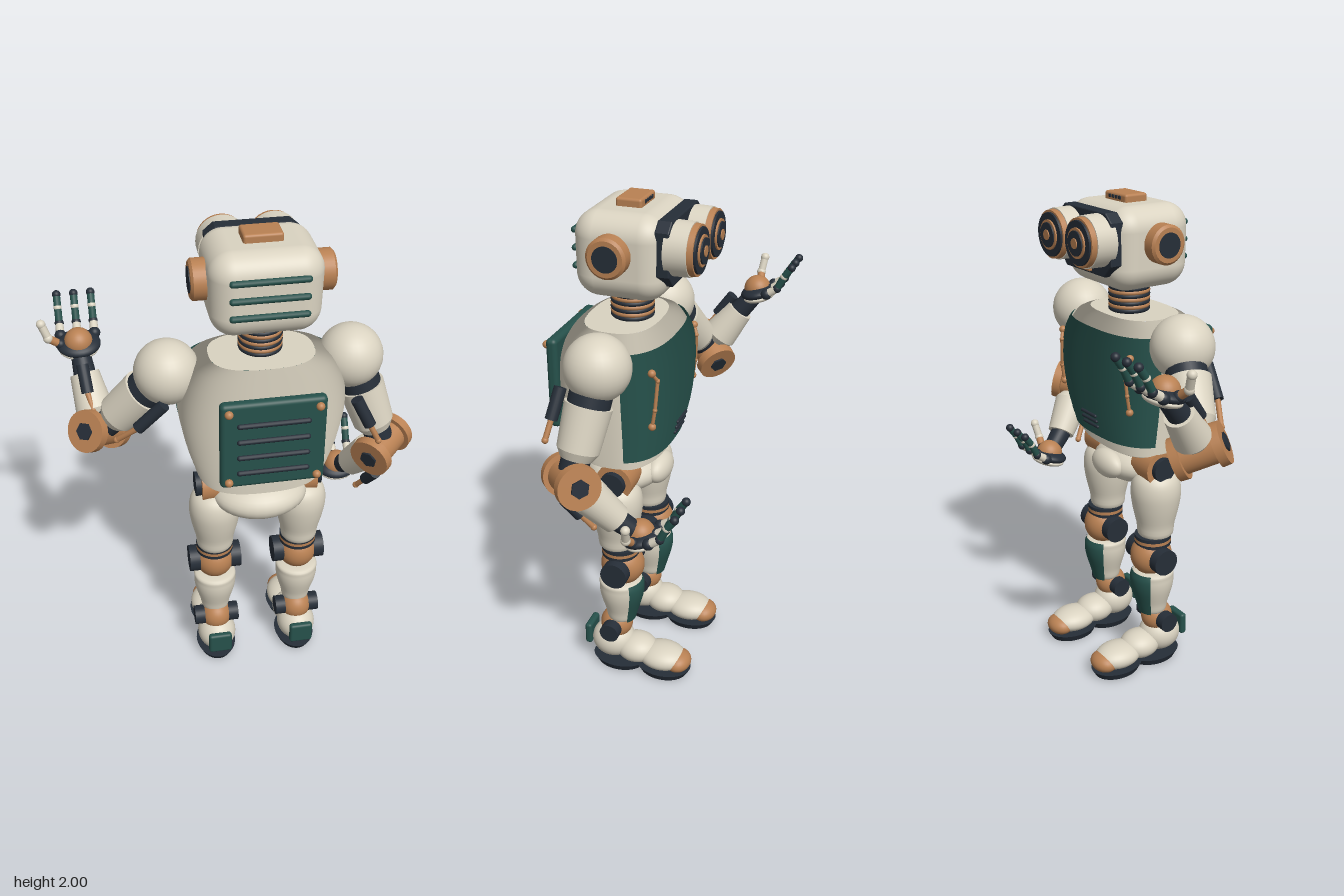
import * as THREE from 'three';
import { RoundedBoxGeometry } from 'three/addons/geometries/RoundedBoxGeometry.js';
import { ParametricGeometry } from 'three/addons/geometries/ParametricGeometry.js';

const material = (name, color, extra = {}) => {
  const m = new THREE.MeshStandardMaterial({ color, ...extra });
  m.name = name;
  return m;
};
const cream = material('cream', 0xdad3c1);
const copper = material('copper', 0xb98153);
const dark = material('dark slate', 0x262e38);
const green = material('deep green', 0x26514b, { side: THREE.DoubleSide });

const C = 0.097; // body centre line in x and z
const V = (p) => new THREE.Vector3(...p);

function add(parent, name, geometry, mat, position = [0, 0, 0]) {
  const mesh = new THREE.Mesh(geometry, mat);
  mesh.name = name;
  mesh.position.set(...position);
  parent.add(mesh);
  return mesh;
}
function ball(parent, name, p, r, mat, scale = [1, 1, 1]) {
  const m = add(parent, name, new THREE.SphereGeometry(r, 32, 20), mat, p);
  m.scale.set(...scale);
  return m;
}
function box(parent, name, p, size, r, mat) {
  return add(parent, name, new RoundedBoxGeometry(...size, 5, r), mat, p);
}
// tapered cylinder from a to b
function rod(parent, name, a, b, ra, rb, mat, sides = 32) {
  const d = V(b).sub(V(a));
  const m = add(parent, name, new THREE.CylinderGeometry(rb, ra, d.length(), sides), mat);
  m.position.copy(V(a)).addScaledVector(d, 0.5);
  m.quaternion.setFromUnitVectors(new THREE.Vector3(0, 1, 0), d.normalize());
  return m;
}
function bar(parent, name, p, length, r, mat) {
  const m = add(parent, name, new THREE.CapsuleGeometry(r, length - 2 * r, 6, 12), mat, p);
  m.rotation.z = Math.PI / 2;
  return m;
}
const mix = (a, b, t) => V(a).lerp(V(b), t).toArray();
const lathe = (pts, ...arc) =>
  new THREE.LatheGeometry(new THREE.SplineCurve(pts.map((p) => new THREE.Vector2(...p))).getPoints(28), 36, ...arc);

// torso sections: half width, height, half depth
const torsoCurve = new THREE.CatmullRomCurve3([
  [0.2, 0.962, 0.13], [0.24, 0.99, 0.165], [0.272, 1.08, 0.195], [0.302, 1.2, 0.218], [0.32, 1.34, 0.226],
  [0.305, 1.44, 0.215], [0.262, 1.51, 0.18], [0.2, 1.535, 0.14]].map(V));
const TORSO_Z = 0.12;
const torsoRows = torsoCurve.getPoints(160);
function torsoPoint(y, angle, off, target) {
  const s = torsoRows.find((q) => q.y >= y) ?? torsoRows[160];
  const pw = (v) => Math.sign(v) * Math.abs(v) ** 0.76;
  return target.set(C + (s.x + off) * pw(Math.cos(angle)), y, TORSO_Z - (s.z + off) * pw(Math.sin(angle)));
}

function buildTorso(root) {
  const g = new THREE.Group();
  g.name = 'torso';
  root.add(g);
  add(g, 'torsoShell', new ParametricGeometry((u, v, t) =>
    torsoPoint(0.962 + 0.573 * v, u * Math.PI * 2, 0, t), 72, 48), cream);
  for (const [y, dir] of [[1.535, 1], [0.962, -1]])
    add(g, 'torsoCap', new ParametricGeometry((u, v, t) => {
      torsoPoint(y, u * Math.PI * 2 * dir, 0, t);
      return t.set(C + (t.x - C) * (1 - v), y, TORSO_Z + (t.z - TORSO_Z) * (1 - v));
    }, 48, 2), cream);
  // wrapped chest plate
  add(g, 'chestPlate', new ParametricGeometry((u, v, t) =>
    torsoPoint(1.035 + 0.455 * v, 0.3 + u * (Math.PI - 0.6), 0.011, t), 48, 32), green);
  for (const s of [-1, 1]) {
    const pts = [[0.95, 1.42], [0.82, 1.385], [0.9, 1.27], [0.96, 1.2]].map(([a, y]) =>
      torsoPoint(y, Math.PI / 2 + s * a * 0.78, 0.018, new THREE.Vector3()).toArray());
    for (let i = 0; i < 3; i++) rod(g, 'chestPipe', pts[i], pts[i + 1], 0.007, 0.007, copper, 10);
    pts.forEach((p, i) => ball(g, 'chestPipeJoint', p, i % 3 ? 0.009 : 0.015, copper));
  }
  for (let i = 0; i < 3; i++) {
    const y = 1.085 + i * 0.024;
    bar(g, 'chestVent', torsoPoint(y, Math.PI / 2, 0.013, new THREE.Vector3()).toArray(), 0.11, 0.007, dark);
  }
  // back panel
  box(g, 'backPanel', [C, 1.285, 0.355], [0.395, 0.37, 0.045], 0.018, green);
  for (let i = 0; i < 4; i++) bar(g, 'backSlot', [C, 1.17 + i * 0.07, 0.381], 0.275, 0.01, dark);
  for (const x of [-0.167, 0.167]) for (const y of [1.132, 1.437]) ball(g, 'panelScrew', [C + x, y, 0.383], 0.016, copper);
  // pelvis and neck
  ball(g, 'pelvis', [C, 0.885, 0.13], 1, cream, [0.195, 0.088, 0.16]);
  ball(g, 'pelvisFront', [C, 0.89, -0.01], 1, cream, [0.095, 0.06, 0.05]);
  rod(g, 'neckCore', [C, 1.52, C], [C, 1.68, C], 0.07, 0.07, dark);
  for (let i = 0; i < 8; i++) {
    const ring = add(g, 'neckRing', new THREE.TorusGeometry(0.074, 0.01, 10, 36), i % 2 ? copper : dark, [C, 1.545 + i * 0.0145, C]);
    ring.rotation.x = Math.PI / 2;
  }
}

function buildHead(root) {
  const g = new THREE.Group();
  g.name = 'head';
  root.add(g);
  const skull = new RoundedBoxGeometry(0.42, 0.32, 0.35, 8, 0.09);
  const p = skull.attributes.position;
  for (let i = 0; i < p.count; i++) p.setX(i, p.getX(i) * (0.98 + p.getY(i) * 0.12)); // slightly narrower jaw
  add(g, 'skull', skull, cream, [C, 1.81, 0.085]);
  box(g, 'crownBlock', [C, 1.975, 0.08], [0.145, 0.05, 0.1], 0.01, copper);
  for (let i = 0; i < 4; i++) box(g, 'crownPort', [C - 0.033 + i * 0.022, 1.985, 0.03], [0.013, 0.013, 0.008], 0.002, dark);
  for (let i = 0; i < 3; i++) bar(g, 'headVent', [C, 1.753 + i * 0.067, 0.265], 0.29, 0.012, green);
  for (const s of [-1, 1]) {
    const x = (d) => [C + s * d, 1.834, C];
    rod(g, 'ear', x(0.19), x(0.253), 0.076, 0.076, copper);
    rod(g, 'earRim', x(0.253), x(0.262), 0.076, 0.066, copper);
    rod(g, 'earCentre', x(0.25), x(0.265), 0.048, 0.048, dark);
  }
  // visor plate with clipped corners
  const shape = new THREE.Shape([[-0.175, -0.07], [-0.13, -0.115], [0.13, -0.115], [0.175, -0.07], [0.175, 0.085],
    [0.14, 0.115], [-0.14, 0.115], [-0.175, 0.085]].map((q) => new THREE.Vector2(...q)));
  add(g, 'visor', new THREE.ExtrudeGeometry(shape, { depth: 0.045, bevelSize: 0.005, bevelThickness: 0.005, bevelSegments: 2 }),
    dark, [C, 1.835, -0.105]);
  box(g, 'mouthBar', [C, 1.735, -0.113], [0.1, 0.022, 0.02], 0.006, copper);
  // camera eyes
  for (const s of [-1, 1]) {
    const rings = [['eyeBarrel', 0.1, -0.09, -0.176, cream], ['eyeRim', 0.094, -0.176, -0.198, copper],
      ['eyeFace', 0.085, -0.19, -0.206, dark], ['eyeRing', 0.058, -0.2, -0.212, copper],
      ['eyeLens', 0.048, -0.205, -0.217, dark], ['eyeCentre', 0.02, -0.21, -0.221, copper]];
    for (const [name, r, z0, z1, mat] of rings)
      rod(g, name, [C + s * 0.099, 1.85, z0], [C + s * 0.099, 1.85, z1], r, r * 0.98, mat);
  }
}

function buildHand(root, side, position) {
  const g = new THREE.Group();
  g.name = side > 0 ? 'leftHand' : 'rightHand';
  g.position.set(...position);
  root.add(g);
  const palm = new THREE.Group();
  palm.name = 'palm';
  palm.rotation.x = 0.25;
  g.add(palm);
  ball(palm, 'palmPad', [0, 0, 0], 1, dark, [0.087, 0.03, 0.075]);
  ball(palm, 'palmShell', [0, -0.02, 0], 1, cream, [0.08, 0.022, 0.068]);
  ball(g, 'palmDome', [0, 0.012, 0.005], 0.056, copper);
  for (const x of [-0.067, 0, 0.067]) {
    const p = [[x, 0.015, -0.05], [x, 0.045, -0.095], [x, 0.1, -0.122], [x, 0.142, -0.152]];
    ball(g, 'knuckle', p[0], 0.023, dark);
    rod(g, 'fingerBase', p[0], p[1], 0.018, 0.016, cream, 14);
    ball(g, 'fingerJoint', p[1], 0.018, dark);
    rod(g, 'fingerMiddle', p[1], p[2], 0.015, 0.015, green, 14);
    ball(g, 'fingerJoint', p[2], 0.016, cream);
    rod(g, 'fingerEnd', p[2], p[3], 0.015, 0.015, green, 14);
    ball(g, 'fingerTip', p[3], 0.017, dark);
  }
  const t = [[side * 0.07, 0.01, 0.01], [side * 0.115, 0.045, 0.02], [side * 0.137, 0.105, 0.012]];
  ball(g, 'thumbBase', t[0], 0.022, dark);
  rod(g, 'thumbLower', t[0], t[1], 0.016, 0.016, copper, 14);
  ball(g, 'thumbJoint', t[1], 0.019, cream);
  rod(g, 'thumbUpper', t[1], t[2], 0.016, 0.016, cream, 14);
  ball(g, 'thumbTip', t[2], 0.018, cream);
}

function buildArm(root, side, { elbow, axis, hand, wrist, pistons }) {
  const g = new THREE.Group();
  g.name = side > 0 ? 'leftArm' : 'rightArm';
  root.add(g);
  const shoulder = [C + side * 0.352, 1.465, C];
  ball(g, 'shoulder', shoulder, 0.125, cream);
  // upper arm
  const up = (t) => mix(shoulder, elbow, t);
  rod(g, 'shoulderCollar', up(0.2), up(0.4), 0.08, 0.08, dark);
  rod(g, 'upperArm', up(0.32), up(0.72), 0.09, 0.08, cream);
  rod(g, 'upperArmEnd', up(0.72), up(0.8), 0.08, 0.06, cream);
  rod(g, 'elbowCollar', up(0.78), up(0.95), 0.055, 0.055, dark);
  // elbow hinge
  const at = (d) => V(elbow).addScaledVector(V(axis).normalize(), d).toArray();
  rod(g, 'elbowCore', at(-0.09), at(0.09), 0.066, 0.066, copper);
  for (const s of [-1, 1]) {
    rod(g, 'elbowDisc', at(s * 0.065), at(s * 0.1), 0.085, 0.083, copper);
    rod(g, 'elbowHub', at(s * 0.095), at(s * 0.108), 0.036, 0.036, dark, 6);
  }
  // forearm
  const fore = (t) => mix(elbow, wrist, t);
  rod(g, 'forearmBase', fore(0.22), fore(0.32), 0.055, 0.074, cream);
  rod(g, 'forearm', fore(0.32), fore(0.86), 0.074, 0.058, cream);
  rod(g, 'wrist', fore(0.84), hand, 0.044, 0.036, dark);
  for (const [a, b, c] of pistons) {
    rod(g, 'pistonSleeve', a, b, 0.024, 0.024, dark, 18);
    rod(g, 'pistonRod', b, c, 0.011, 0.011, copper, 12);
    ball(g, 'pistonEnd', c, 0.013, copper);
  }
  buildHand(g, side, hand);
}

function buildLeg(root, side) {
  const g = new THREE.Group();
  g.name = side > 0 ? 'leftLeg' : 'rightLeg';
  g.position.x = C + side * 0.18;
  root.add(g);
  // hinge along x: copper core with dark caps
  const hinge = (name, y, z, r, half, cap, capHalf) => {
    ball(g, name, [0, y, z], r, copper, [half / r, 1, 1]);
    rod(g, name + 'Cap', [-capHalf, y, z], [capHalf, y, z], cap, cap, dark);
  };
  // hip
  rod(g, 'hip', [-side * 0.06, 0.92, C], [side * 0.055, 0.92, C], 0.074, 0.074, copper);
  rod(g, 'hipCap', [side * 0.05, 0.92, C], [side * 0.078, 0.92, C], 0.05, 0.05, dark);
  // thigh
  add(g, 'thigh', lathe([[0.001, 0.6], [0.068, 0.603], [0.08, 0.66], [0.098, 0.74], [0.105, 0.81], [0.092, 0.865], [0.055, 0.895], [0.001, 0.9]]),
    cream, [0, 0, 0.108]);
  [[0.6, dark], [0.586, copper], [0.572, dark]].forEach(([y, m]) =>
    rod(g, 'kneeRing', [0, y - 0.007, 0.095], [0, y + 0.007, 0.095], 0.077, 0.077, m));
  hinge('knee', 0.513, 0.087, 0.09, 0.084, 0.056, 0.109);
  // shin with green front guard
  const shin = [[0.052, 0.24], [0.066, 0.29], [0.085, 0.36], [0.089, 0.41], [0.08, 0.44]];
  add(g, 'shin', lathe([[0.001, 0.238], ...shin, [0.001, 0.448]]), cream, [0, 0, C]);
  add(g, 'shinGuard', lathe(shin.map(([r, y]) => [r + 0.008, y]), Math.PI - 0.85, 1.7), green, [0, 0, C]);
  hinge('ankle', 0.203, 0.12, 0.068, 0.066, 0.041, 0.095);
  // foot
  ball(g, 'heel', [0, 0.115, 0.135], 1, cream, [0.083, 0.08, 0.093]);
  ball(g, 'instep', [0, 0.09, 0.03], 1, cream, [0.08, 0.06, 0.09]);
  ball(g, 'forefoot', [0, 0.075, -0.085], 1, cream, [0.083, 0.052, 0.105]);
  ball(g, 'toeCap', [0, 0.065, -0.155], 1, copper, [0.066, 0.042, 0.055]);
  box(g, 'heelGuard', [0, 0.135, 0.235], [0.1, 0.097, 0.03], 0.012, green);
  for (const [z, rx, rz] of [[0.105, 0.086, 0.12], [-0.09, 0.086, 0.118]]) {
    const sole = add(g, 'sole', new THREE.CylinderGeometry(1, 0.85, 0.03, 40), dark, [0, 0.015, z]);
    sole.scale.set(rx, 1, rz);
  }
}

export function createModel() {
  const root = new THREE.Group();
  root.name = 'robot';
  buildTorso(root);
  buildHead(root);
  // raised arm
  buildArm(root, -1, {
    elbow: [-0.515, 1.157, -0.015], axis: [-0.6, 0.4, 0.65], wrist: [-0.56, 1.37, -0.165], hand: [-0.565, 1.432, -0.22],
    pistons: [[[-0.28, 1.385, 0.2], [-0.38, 1.275, 0.175], [-0.46, 1.2, 0.13]],
      [[-0.56, 1.4, -0.11], [-0.55, 1.31, -0.045], [-0.53, 1.23, 0.01]]],
  });
  // lowered arm
  buildArm(root, 1, {
    elbow: [0.59, 1.068, 0.155], axis: [0.7, 0.18, -0.66], wrist: [0.5, 0.855, -0.01], hand: [0.477, 0.808, -0.075],
    pistons: [[[0.44, 1.36, 0.25], [0.495, 1.25, 0.268], [0.53, 1.18, 0.28]],
      [[0.56, 0.96, 0.2], [0.54, 0.89, 0.145], [0.515, 0.83, 0.105]]],
  });
  for (const s of [-1, 1]) buildLeg(root, s);
  return root;
}
